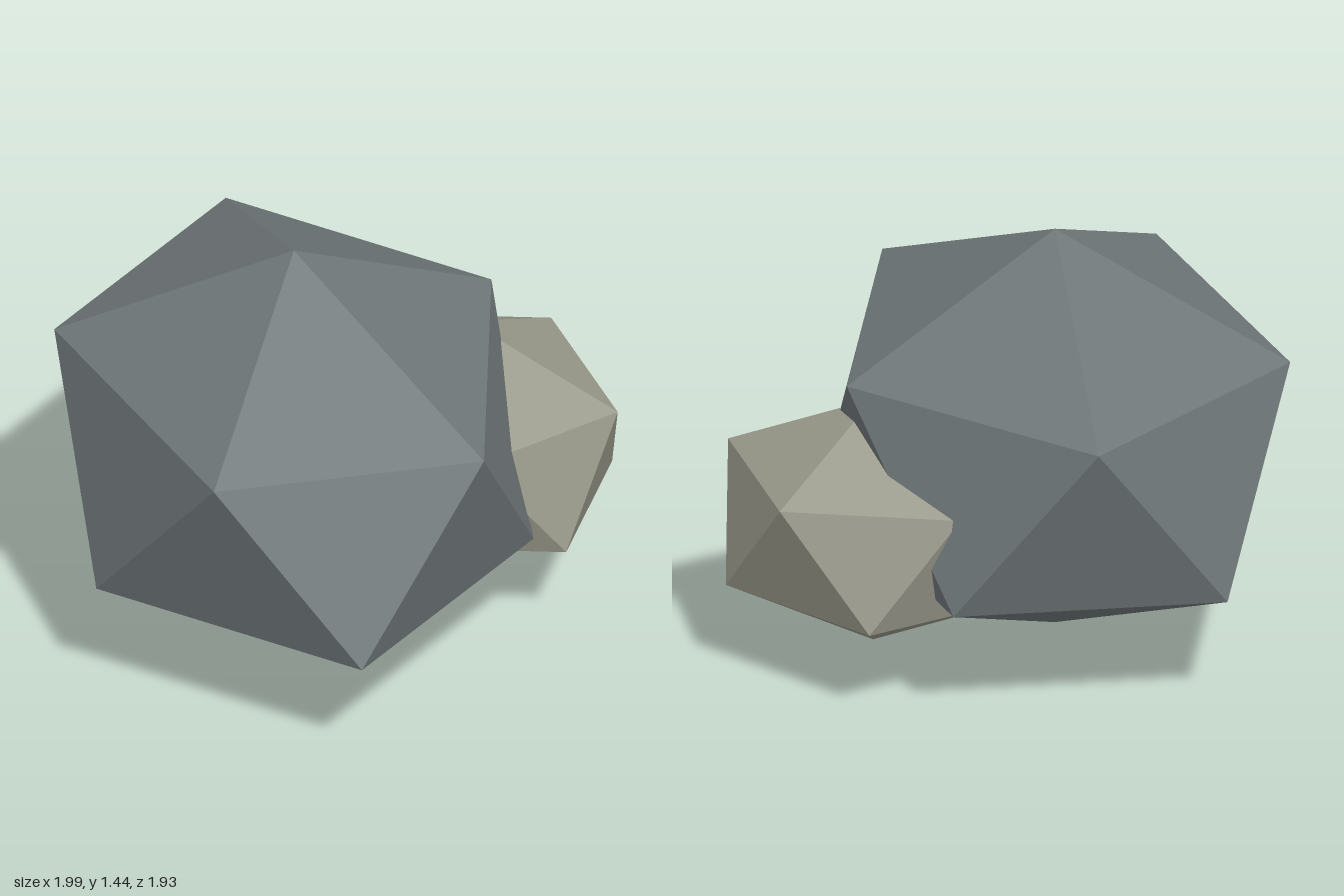
import * as THREE from 'three';

// Stretched icosahedron: apex, upper ring, mirrored lower ring, base point.
// Ring points follow a * cos + b * sin, with a and b as [x, z] half-axes.
function rockGeometry(height, a, b) {
  const ringY = height * 0.447;
  const apex = new THREE.Vector3(0, height, 0);
  const base = new THREE.Vector3(0, -height, 0);
  const upper = [];
  for (let k = 0; k < 5; k++) {
    const c = Math.cos(k * Math.PI * 0.4), s = Math.sin(k * Math.PI * 0.4);
    upper.push(new THREE.Vector3(a[0] * c + b[0] * s, ringY, a[1] * c + b[1] * s));
  }
  // Each lower point is opposite an upper one, sitting between two upper neighbours
  const lower = upper.map((_, k) => upper[(k + 3) % 5].clone().negate());

  const corners = [];
  for (let k = 0; k < 5; k++) {
    const n = (k + 1) % 5;
    corners.push(apex, upper[k], upper[n]);
    corners.push(upper[k], lower[k], upper[n]);
    corners.push(lower[k], lower[n], upper[n]);
    corners.push(base, lower[n], lower[k]);
  }
  const geometry = new THREE.BufferGeometry().setFromPoints(corners);
  geometry.computeVertexNormals();
  return geometry;
}

export function createModel() {
  const group = new THREE.Group();
  group.name = 'rocks';

  const slate = new THREE.MeshStandardMaterial({ color: 0x6f7779, flatShading: true });
  slate.name = 'slate grey';
  const sandstone = new THREE.MeshStandardMaterial({ color: 0x98988a, flatShading: true });
  sandstone.name = 'warm grey';

  // Large boulder
  const boulder = new THREE.Mesh(rockGeometry(0.72, [0.012, 0.965], [0.855, -0.235]), slate);
  boulder.name = 'largeRock';
  boulder.position.set(-0.18, 0.72, 0);

  // Smaller stone set into its left side
  const stone = new THREE.Mesh(rockGeometry(0.44, [0.255, 0.479], [0.435, -0.3]), sandstone);
  stone.name = 'smallRock';
  stone.position.set(0.5, 0.51, 0.11);

  group.add(boulder, stone);
  return group;
}
